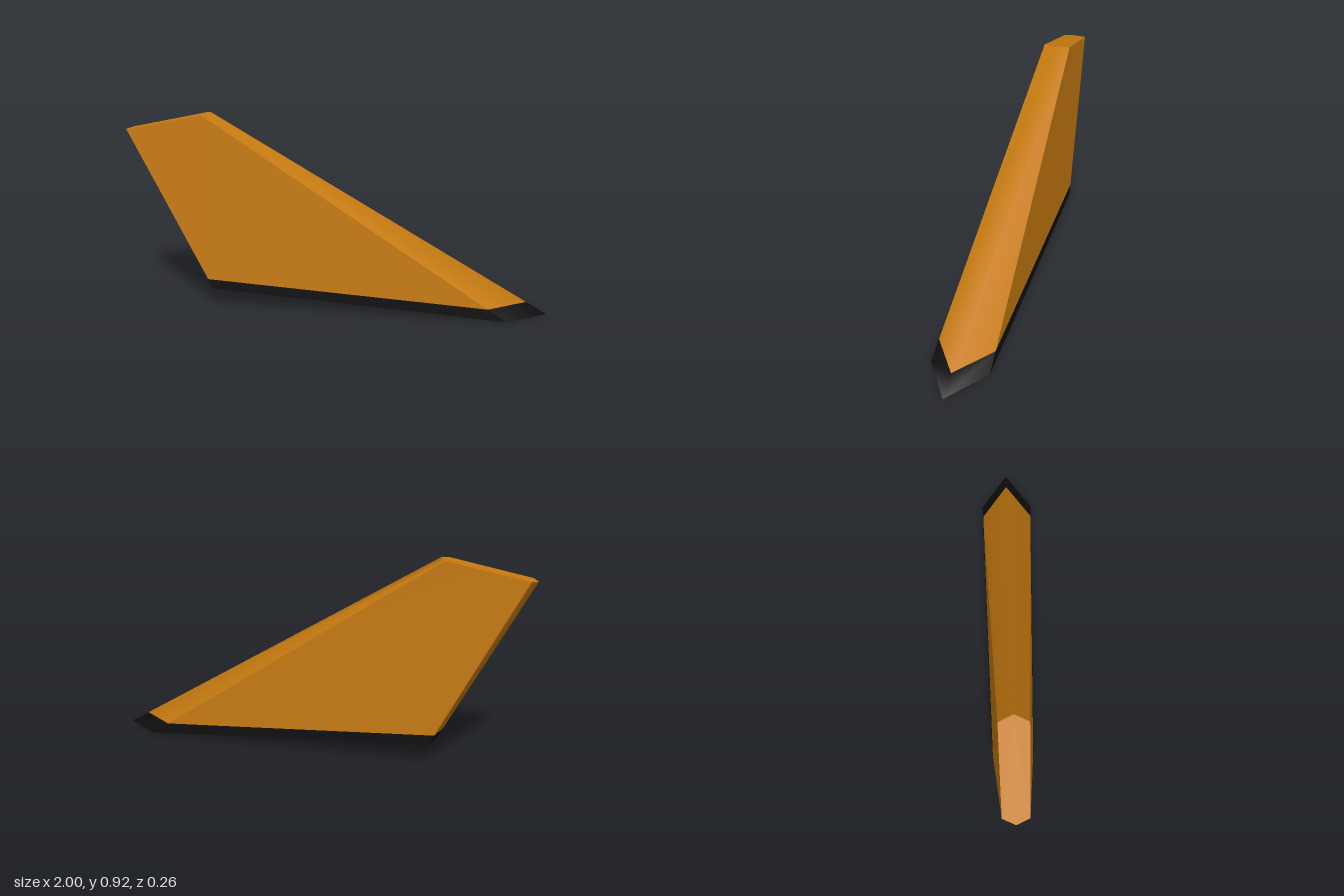
import * as THREE from 'three';

// Half outline of the hexagonal section: leading tip, front shoulder, rear shoulder, trailing tip
const BASE = [[1, 0, 0], [0.81, 0, 0.132], [-0.57, 0.085, 0.1], [-0.59, 0.088, 0]];
const CROWN = [[-0.58, 0.917, 0], [-0.61, 0.91, 0.065], [-0.975, 0.836, 0.056], [-1, 0.83, 0]];
const BAND = 0.06; // share of the height taken by the dark base band

// Mirror the half outline into a full ring of six points
function ring(half) {
  const pts = half.map((p) => new THREE.Vector3(...p));
  const mirrored = [2, 1].map((i) => new THREE.Vector3(half[i][0], half[i][1], -half[i][2]));
  return [...pts, ...mirrored];
}

function geometry(points, index) {
  const g = new THREE.BufferGeometry().setFromPoints(points);
  g.setIndex(index);
  g.computeVertexNormals();
  return g;
}

// Strip of quads between two rings; shared corners inside a strip stay smooth
function strip(low, high, ids) {
  const n = ids.length;
  const index = [];
  for (let i = 0; i < n - 1; i++) {
    index.push(i + 1, i, n + i, i + 1, n + i, n + i + 1);
  }
  return geometry([...ids.map((i) => low[i]), ...ids.map((i) => high[i])], index);
}

// Flat hexagonal cap
function cap(points, up) {
  const index = [];
  for (let i = 1; i < points.length - 1; i++) index.push(0, up ? i + 1 : i, up ? i : i + 1);
  return geometry(points, index);
}

export function createModel() {
  const orange = new THREE.MeshStandardMaterial({ color: 0xc67a10 });
  orange.name = 'orange';
  const black = new THREE.MeshStandardMaterial({ color: 0x0e0e0e });
  black.name = 'black';

  const model = new THREE.Group();
  model.name = 'fin';
  const add = (parent, name, geo, mat) => {
    const mesh = new THREE.Mesh(geo, mat);
    mesh.name = name;
    parent.add(mesh);
  };

  const bottom = ring(BASE);
  const top = ring(CROWN);
  const split = bottom.map((p, i) => p.clone().lerp(top[i], BAND));

  // Walls: rounded leading and trailing edges, flat sides
  const walls = { leadingEdge: [5, 0, 1], leftSide: [1, 2], trailingEdge: [2, 3, 4], rightSide: [4, 5] };
  const sections = [['baseBand', bottom, split, black], ['blade', split, top, orange]];
  for (const [name, low, high, mat] of sections) {
    const section = new THREE.Group();
    section.name = name;
    for (const [wall, ids] of Object.entries(walls)) add(section, wall, strip(low, high, ids), mat);
    model.add(section);
  }

  // Ends
  add(model, 'tipCap', cap(top, true), orange);
  add(model, 'underside', cap(bottom, false), black);
  return model;
}
